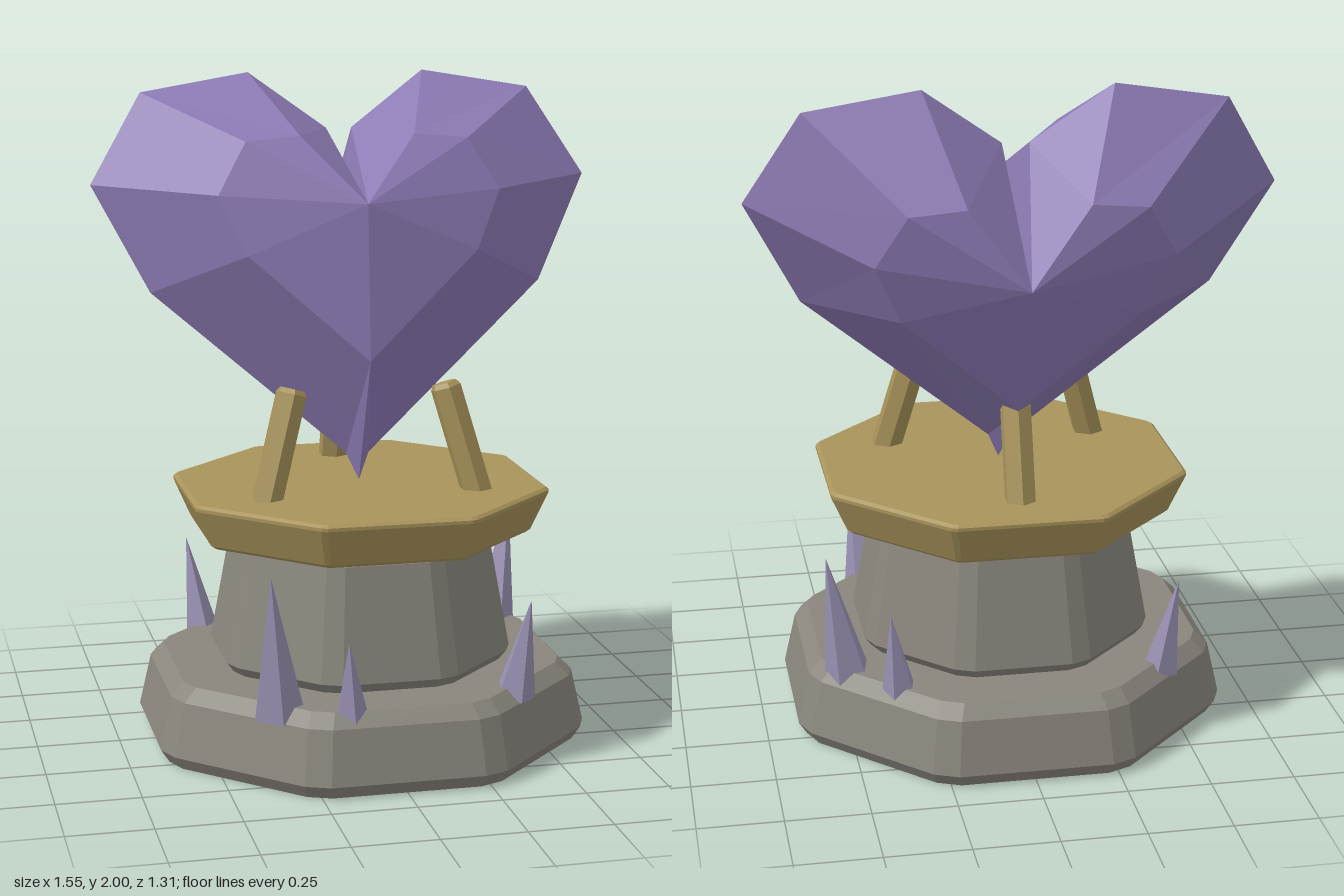
import * as THREE from 'three';

const material = (color) => new THREE.MeshStandardMaterial({ color, flatShading: true });

function addMesh(parent, name, geometry, mat) {
  const mesh = new THREE.Mesh(geometry, mat);
  mesh.name = name;
  parent.add(mesh);
  return mesh;
}

function fromTriangles(positions) {
  const geometry = new THREE.BufferGeometry();
  geometry.setAttribute('position', new THREE.Float32BufferAttribute(positions, 3));
  geometry.computeVertexNormals();
  return geometry;
}

// Octagon with clipped corners, stacked through [half width, height] layers
function octagonStack(layers, clip) {
  const half = Math.tan(Math.PI / 8) - clip;
  const loops = layers.map(([r, y]) => {
    const loop = [];
    for (let k = 0; k < 8; k++) {
      const a = (k * Math.PI) / 4, s = Math.sin(a), c = Math.cos(a);
      for (const t of [-half, half]) loop.push([r * (s + t * c), y, r * (c - t * s)]);
    }
    return loop;
  });
  const out = [];
  const bottom = [0, layers[0][1], 0], top = [0, layers.at(-1)[1], 0];
  for (let i = 0; i < 16; i++) {
    const j = (i + 1) % 16;
    for (let k = 0; k + 1 < loops.length; k++) {
      const a = loops[k], b = loops[k + 1];
      out.push(...a[i], ...a[j], ...b[j], ...a[i], ...b[j], ...b[i]);
    }
    out.push(...bottom, ...loops[0][j], ...loops[0][i]);
    out.push(...top, ...loops.at(-1)[i], ...loops.at(-1)[j]);
  }
  return fromTriangles(out);
}

// Faceted heart: one quarter, mirrored left/right and front/back
function heartGeometry() {
  const center = [0, 0.798, 0.344], notch = [0.04, 1.087, 0];
  const valley = [0, 0.9, 0], tip = [0, 0, 0];
  const inner = [[0.175, 1.02], [0.34, 1.005], [0.43, 0.847], [0.35, 0.665], [0, 0.34]]
    .map(([x, y]) => [x, y, 0.256]);
  const rim = [[0.275, 1.263], [0.61, 1.206], [0.775, 0.927], [0.61, 0.595], [0.035, 0.083]]
    .map(([x, y]) => [x, y, 0]);
  const faces = [
    [center, inner[0], notch], [notch, inner[0], rim[0]],
    [center, notch, valley], [inner[4], tip, rim[4]],
  ];
  for (let i = 0; i < 4; i++) {
    faces.push([center, inner[i + 1], inner[i]]);
    faces.push([inner[i], inner[i + 1], rim[i + 1]], [inner[i], rim[i + 1], rim[i]]);
  }
  const out = [];
  for (const sx of [1, -1]) for (const sz of [1, -1]) {
    for (const [a, b, c] of faces) {
      for (const p of sx * sz > 0 ? [a, b, c] : [a, c, b]) out.push(p[0] * sx, p[1], p[2] * sz);
    }
  }
  return fromTriangles(out);
}

// Place a geometry built along y so that it runs from one point to another
function alignBetween(mesh, from, to) {
  mesh.position.copy(from);
  mesh.quaternion.setFromUnitVectors(new THREE.Vector3(0, 1, 0), to.clone().sub(from).normalize());
}

export function createModel() {
  const model = new THREE.Group();
  model.name = 'heartCrystalPedestal';
  const stone = material(0x8a867d), gold = material(0xa8935a);
  const crystal = material(0x8d7bb5), shard = material(0x9b92b4);

  // Pedestal
  addMesh(model, 'base', octagonStack([[0.63, 0], [0.655, 0.04], [0.62, 0.2], [0.58, 0.24]], 0.065), stone);
  addMesh(model, 'pillar', octagonStack([[0.41, 0.23], [0.44, 0.27], [0.38, 0.61], [0.35, 0.645]], 0.08), stone);
  addMesh(model, 'plate', octagonStack([[0.48, 0.64], [0.492, 0.65], [0.54, 0.762], [0.54, 0.772], [0.53, 0.78]], 0.02), gold);

  // Three leaning prongs around the heart
  const prongProfile = [[0, 0], [0.048, 0], [0.048, 0.35], [0.038, 0.365], [0, 0.365]]
    .map(([r, y]) => new THREE.Vector2(r, y));
  for (let k = 0; k < 3; k++) {
    const a = Math.PI / 3 + (k * 2 * Math.PI) / 3;
    const at = (r, y) => new THREE.Vector3(r * Math.sin(a), y, r * Math.cos(a));
    const prong = addMesh(model, 'prong', new THREE.LatheGeometry(prongProfile, 6), gold);
    alignBetween(prong, at(0.378, 0.75), at(0.268, 1.1));
  }

  // Heart, leaning back
  const heart = addMesh(model, 'heart', heartGeometry(), crystal);
  heart.position.y = 0.78;
  heart.rotation.x = -Math.PI / 12;

  // Shards on the base: foot x, z; apex x, y, z; radius
  const shards = [
    [-0.345, 0.465, -0.38, 0.64, 0.545, 0.078],
    [-0.15, 0.56, -0.165, 0.45, 0.6, 0.052],
    [0.37, 0.45, 0.405, 0.51, 0.495, 0.062],
    [0.505, -0.27, 0.57, 0.61, -0.31, 0.072],
    [0.37, -0.42, 0.4, 0.48, -0.465, 0.055],
    [-0.43, -0.39, -0.47, 0.515, -0.43, 0.056],
  ];
  shards.forEach(([x, z, ax, ay, az, r], i) => {
    const foot = new THREE.Vector3(x, 0.21, z), apex = new THREE.Vector3(ax, ay, az);
    const length = foot.distanceTo(apex);
    const cone = new THREE.ConeGeometry(r, length, 5).rotateY(i * 1.3).translate(0, length / 2, 0);
    alignBetween(addMesh(model, 'shard', cone, shard), foot, apex);
  });

  return model;
}
